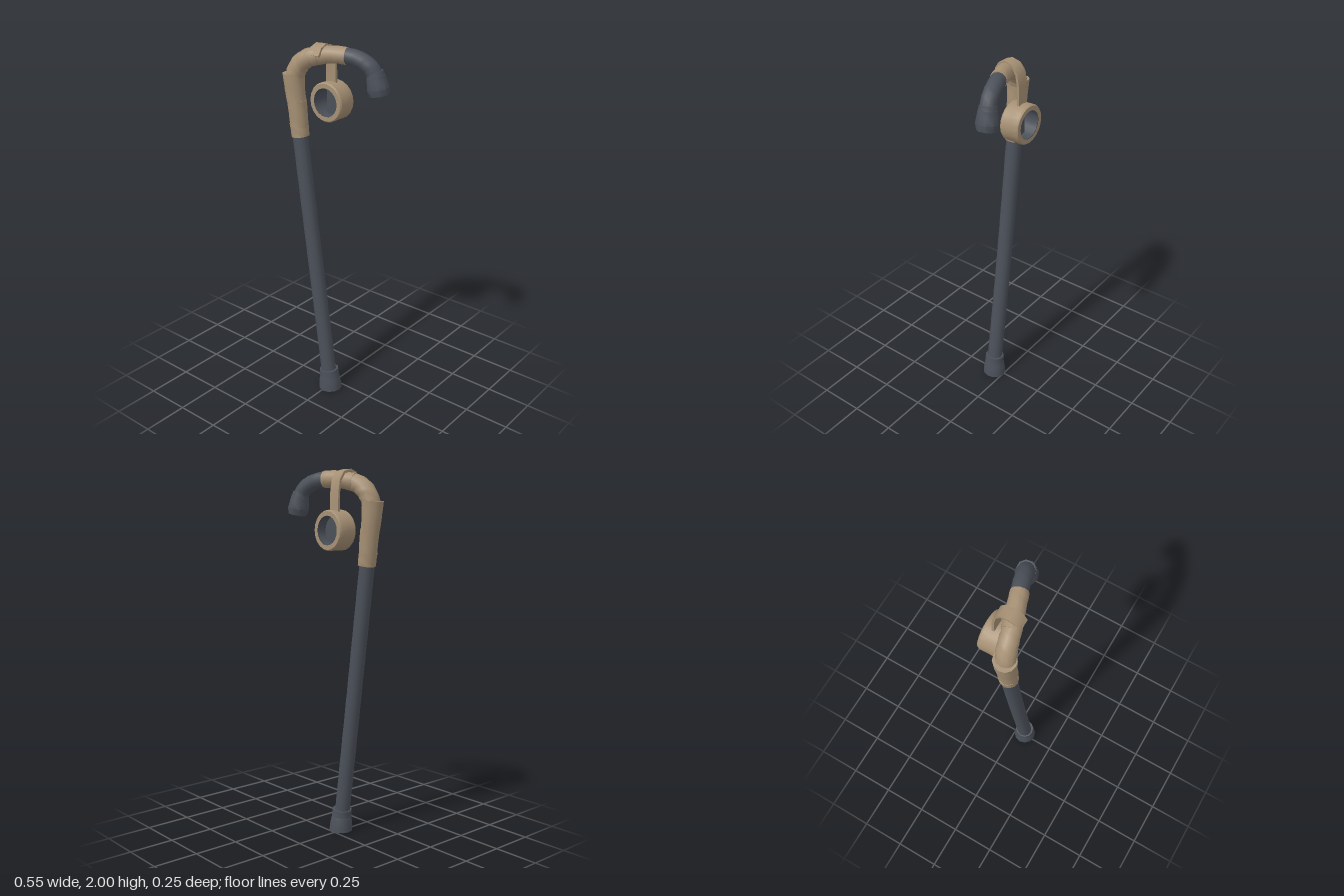
import * as THREE from 'three';
import { toCreasedNormals } from 'three/addons/utils/BufferGeometryUtils.js';

const charcoal = new THREE.MeshStandardMaterial({ color: 0x4b5059 });
charcoal.name = 'charcoal';
const charcoalSheet = charcoal; // used for the thin lining and disc too
charcoalSheet.side = THREE.DoubleSide;
const tan = new THREE.MeshStandardMaterial({ color: 0xa69074 });
tan.name = 'tan leather';

// Capped round sweep through stations [x, y, z, radius]
function sweep(name, stations, steps, sides, material, wobble = 0, crease = 0.7) {
  const curve = new THREE.CatmullRomCurve3(stations.map(s => new THREE.Vector3(s[0], s[1], s[2])));
  const pos = [], index = [];
  const ref = new THREE.Vector3(0, 0, 1), n = new THREE.Vector3(), b = new THREE.Vector3();
  for (let i = 0; i <= steps; i++) {
    const u = i / steps, f = u * (stations.length - 1);
    const k = Math.min(Math.floor(f), stations.length - 2);
    const r0 = THREE.MathUtils.lerp(stations[k][3], stations[k + 1][3], f - k);
    const c = curve.getPoint(u), t = curve.getTangent(u);
    n.copy(ref).addScaledVector(t, -ref.dot(t)).normalize();
    b.crossVectors(t, n);
    for (let j = 0; j < sides; j++) {
      const a = j / sides * Math.PI * 2;
      const r = r0 * (1 + wobble * Math.sin(i * 2.3 + j * 1.7));
      const p = c.clone().addScaledVector(n, r * Math.cos(a)).addScaledVector(b, r * Math.sin(a));
      pos.push(p.x, p.y, p.z);
    }
  }
  for (let i = 0; i < steps; i++) for (let j = 0; j < sides; j++) {
    const A = i * sides + j, B = i * sides + (j + 1) % sides;
    index.push(A, B, A + sides, B, B + sides, A + sides);
  }
  // End caps
  const ends = [curve.getPoint(0), curve.getPoint(1)];
  ends.forEach((e, k) => {
    const centre = pos.length / 3, row = k * steps * sides;
    pos.push(e.x, e.y, e.z);
    for (let j = 0; j < sides; j++) {
      const A = row + j, B = row + (j + 1) % sides;
      index.push(centre, k ? A : B, k ? B : A);
    }
  });
  const g = new THREE.BufferGeometry();
  g.setAttribute('position', new THREE.Float32BufferAttribute(pos, 3));
  g.setIndex(index);
  const mesh = new THREE.Mesh(toCreasedNormals(g, crease), material);
  mesh.name = name;
  return mesh;
}

export function createModel() {
  const cane = new THREE.Group();
  cane.name = 'cane';

  // Leaning shaft and flared foot
  cane.add(sweep('shaft', [[0.008, 0.08, 0.063, 0.043], [-0.09, 0.8, 0.064, 0.042], [-0.185, 1.53, 0.068, 0.042]], 24, 12, charcoal, 0.015));
  cane.add(sweep('foot', [[0.013, 0, 0.06, 0.066], [0.012, 0.03, 0.06, 0.064], [0.01, 0.06, 0.061, 0.06], [0.009, 0.09, 0.062, 0.054]], 6, 12, charcoal));
  cane.add(sweep('footCollar', [[0.009, 0.085, 0.062, 0.056], [0.005, 0.122, 0.062, 0.054]], 1, 12, charcoal));

  // Overlapping wrapped sleeves of the grip
  const grip = new THREE.Group();
  grip.name = 'grip';
  const bands = [
    [[-0.179, 1.5, 0.068, 0.048], [-0.189, 1.57, 0.068, 0.05]],
    [[-0.184, 1.54, 0.068, 0.048], [-0.2, 1.69, 0.069, 0.052]],
    [[-0.199, 1.67, 0.07, 0.05], [-0.21, 1.75, 0.071, 0.054], [-0.217, 1.835, 0.072, 0.058]],
  ];
  bands.forEach((s, i) => grip.add(sweep('gripBand' + (i + 1), s, 4, 12, tan, 0.02)));
  grip.add(sweep('gripBend', [
    [-0.209, 1.76, 0.071, 0.048], [-0.204, 1.83, 0.07, 0.05], [-0.176, 1.886, 0.06, 0.05],
    [-0.13, 1.92, 0.05, 0.048], [-0.075, 1.937, 0.034, 0.046]], 14, 12, tan, 0.03));
  grip.add(sweep('gripTop', [
    [-0.11, 1.929, 0.044, 0.049], [-0.04, 1.943, 0.02, 0.046], [0.02, 1.947, 0, 0.045],
    [0.062, 1.945, -0.014, 0.045]], 8, 12, tan, 0.02));
  cane.add(grip);

  // Bare end of the crook with its stepped tip
  cane.add(sweep('crook', [
    [0.04, 1.947, -0.008, 0.041], [0.1, 1.94, -0.028, 0.042], [0.15, 1.921, -0.043, 0.042],
    [0.187, 1.892, -0.055, 0.042], [0.207, 1.85, -0.064, 0.042]], 14, 12, charcoal, 0.015));
  cane.add(sweep('tipCollar', [[0.201, 1.88, -0.062, 0.045], [0.209, 1.845, -0.065, 0.05]], 1, 9, charcoal));
  cane.add(sweep('tip', [
    [0.207, 1.86, -0.064, 0.049], [0.213, 1.83, -0.066, 0.053],
    [0.22, 1.795, -0.068, 0.058], [0.227, 1.762, -0.07, 0.05]], 3, 9, charcoal));

  // Hanging ring
  const ring = new THREE.Group();
  ring.name = 'hangingRing';
  ring.position.set(-0.068, 1.683, -0.055);
  const profile = [[0.076, -0.055], [0.1, -0.055], [0.106, -0.045], [0.104, 0], [0.106, 0.045], [0.1, 0.054], [0.076, 0.054]];
  const band = new THREE.LatheGeometry(profile.map(p => new THREE.Vector2(...p)), 20);
  band.rotateX(Math.PI / 2);
  const rim = new THREE.Mesh(toCreasedNormals(band, 0.6), tan);
  rim.name = 'ringBand';
  const core = new THREE.CylinderGeometry(0.076, 0.076, 0.106, 20, 1, true);
  core.rotateX(Math.PI / 2);
  const lining = new THREE.Mesh(core, charcoalSheet);
  lining.name = 'ringLining';
  // Cut-off disc inside the ring
  const cut = new THREE.Shape();
  cut.absarc(0, 0, 0.076, -2.02, 2.02, false);
  const disc = new THREE.Mesh(new THREE.ShapeGeometry(cut, 16), charcoalSheet);
  disc.name = 'ringDisc';
  ring.add(rim, lining, disc);
  cane.add(ring);

  // Strap: a bent strip over the crook, hanging down to the ring
  const outer = [[-0.066, 1.775], [-0.063, 1.88], [-0.052, 1.945], [-0.025, 1.985], [0.025, 1.997], [0.062, 1.982], [0.085, 1.945]];
  const inner = [[0.074, 1.938], [0.054, 1.97], [0.022, 1.984], [-0.018, 1.973], [-0.04, 1.94], [-0.051, 1.88], [-0.052, 1.775]];
  const strip = new THREE.Shape([...outer, ...inner].map(p => new THREE.Vector2(-p[0], p[1])));
  const g = new THREE.ExtrudeGeometry(strip, { depth: 0.064, bevelEnabled: false });
  g.rotateY(Math.PI / 2); // profile now lies in the z-y plane
  g.translate(-0.103, 0, 0);
  const strap = new THREE.Mesh(toCreasedNormals(g, 0.8), tan);
  strap.name = 'strap';
  cane.add(strap);

  return cane;
}
